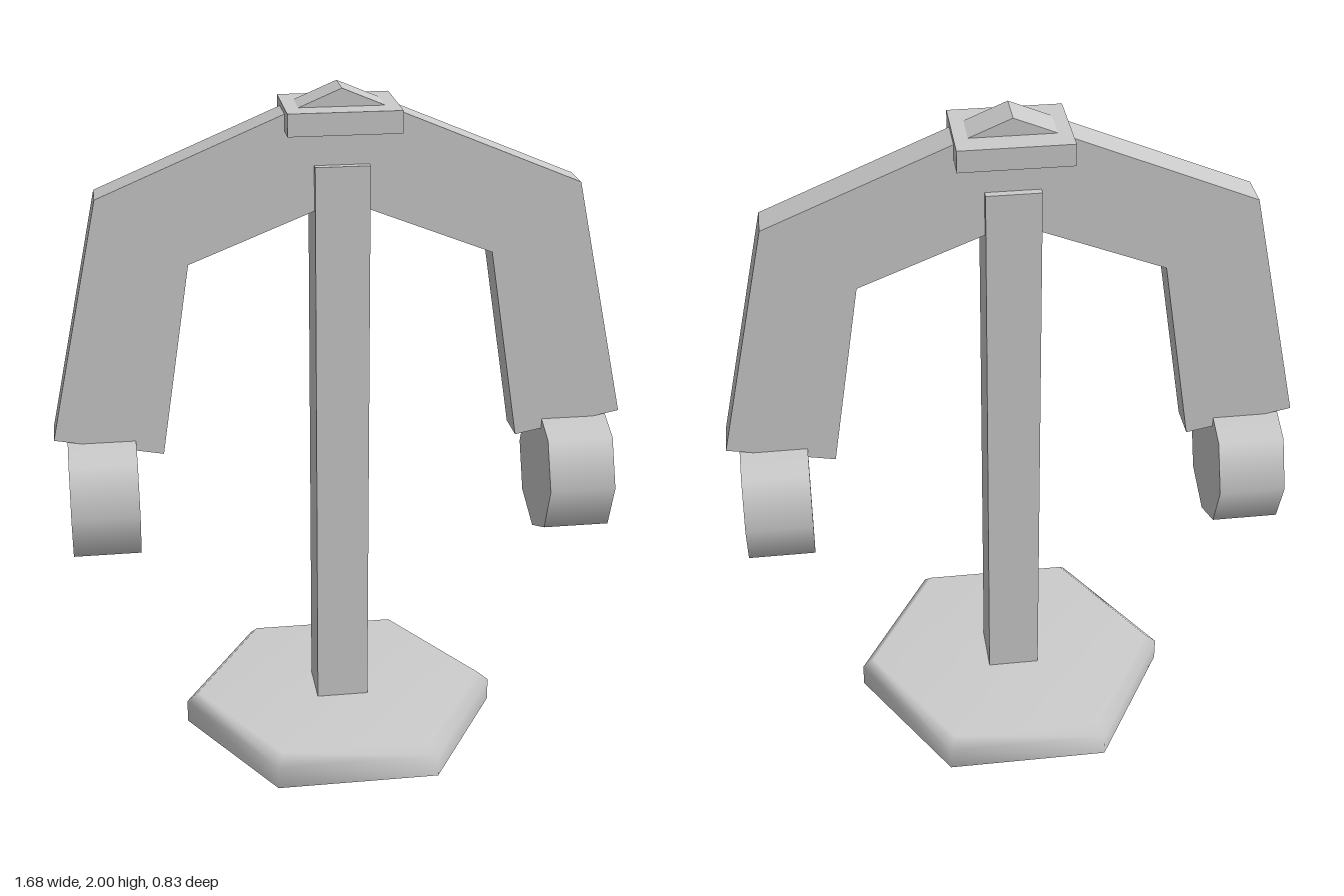
import * as THREE from 'three';

export function createModel() {
  const model = new THREE.Group();
  model.name = 'headphoneStand';
  const grey = new THREE.MeshStandardMaterial({ color: 0xcccccc });
  grey.name = 'light grey';

  const add = (name, geometry, x = 0, y = 0, z = 0, parent = model) => {
    const mesh = new THREE.Mesh(geometry, grey);
    mesh.name = name;
    mesh.position.set(x, y, z);
    parent.add(mesh);
    return mesh;
  };

  // Hexagonal base: softly shaded rim and bevel, flat underside
  const base = new THREE.Group();
  base.name = 'base';
  model.add(base);
  const rim = [[0.48, 0], [0.48, 0.07], [0.445, 0.1], [0, 0.1]].map(p => new THREE.Vector2(...p));
  add('baseTop', new THREE.LatheGeometry(rim, 6, Math.PI / 2), 0, 0, 0, base);
  add('baseUnderside', new THREE.CircleGeometry(0.48, 6).rotateX(Math.PI / 2), 0, 0, 0, base);

  // Square post
  add('post', new THREE.BoxGeometry(0.156, 1.69, 0.156), 0, 0.94, 0);

  // Angular headband: half outline mirrored, then extruded
  const half = [[0, 2], [0.69, 1.71], [0.84, 1], [0.525, 0.94], [0.437, 1.512], [0, 1.685]];
  const mirrored = half.slice(1, -1).reverse().map(([x, y]) => [-x, y]);
  const outline = new THREE.Shape([...half, ...mirrored].map(p => new THREE.Vector2(...p)));
  add('headband', new THREE.ExtrudeGeometry(outline, { depth: 0.11, bevelEnabled: false }), 0, 0, -0.055);

  // Pad crossing the crown of the headband
  add('crownPad', new THREE.BoxGeometry(0.32, 0.064, 0.256), 0, 1.917, 0);

  // Eight-sided ear cups
  const cup = new THREE.CylinderGeometry(0.2, 0.2, 0.197, 8).rotateZ(Math.PI / 2);
  for (const [name, side] of [['leftEarCup', 1], ['rightEarCup', -1]]) {
    add(name, cup, side * 0.703, 0.808, 0);
  }

  return model;
}
